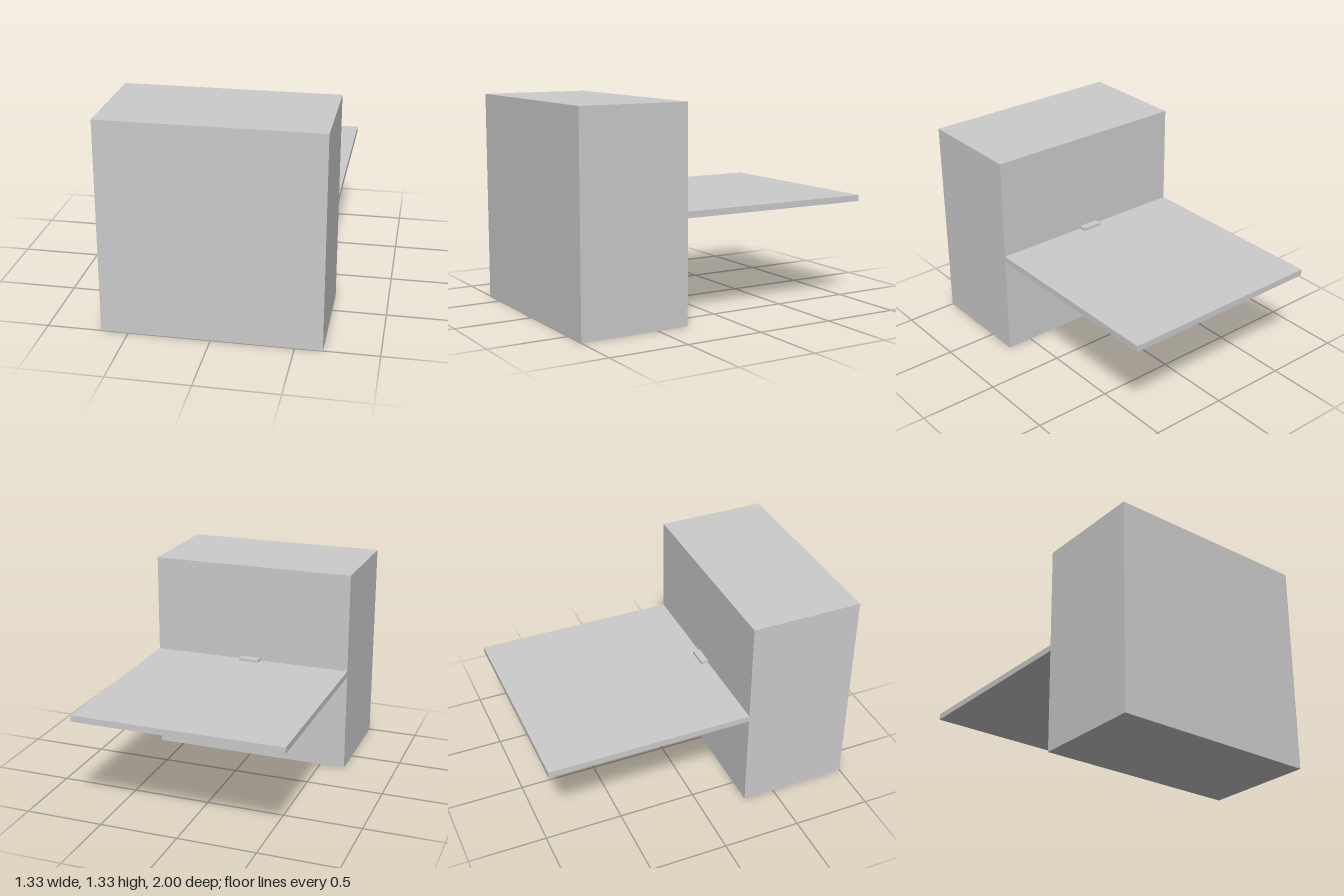
import * as THREE from 'three';

export function createModel() {
  const model = new THREE.Group();
  const grey = new THREE.MeshStandardMaterial({ color: 0xcccccc, flatShading: true });

  // Adds a box spanning the given y and z ranges, centred on x = 0
  function addBox(name, width, [y0, y1], [z0, z1]) {
    const mesh = new THREE.Mesh(new THREE.BoxGeometry(width, y1 - y0, z1 - z0), grey);
    mesh.name = name;
    mesh.position.set(0, (y0 + y1) / 2, (z0 + z1) / 2);
    model.add(mesh);
  }

  const width = 1.333;
  const bodyBack = 0.295;

  // Upright block at the front
  addBox('body', width, [0, 1.333], [bodyBack, 1]);
  // Thin horizontal panel reaching backwards at mid height
  addBox('panel', width, [0.65, 0.69], [-1, bodyBack]);
  // Small tab lying on the panel against the block
  addBox('tab', 0.133, [0.69, 0.708], [0.247, bodyBack]);

  return model;
}
